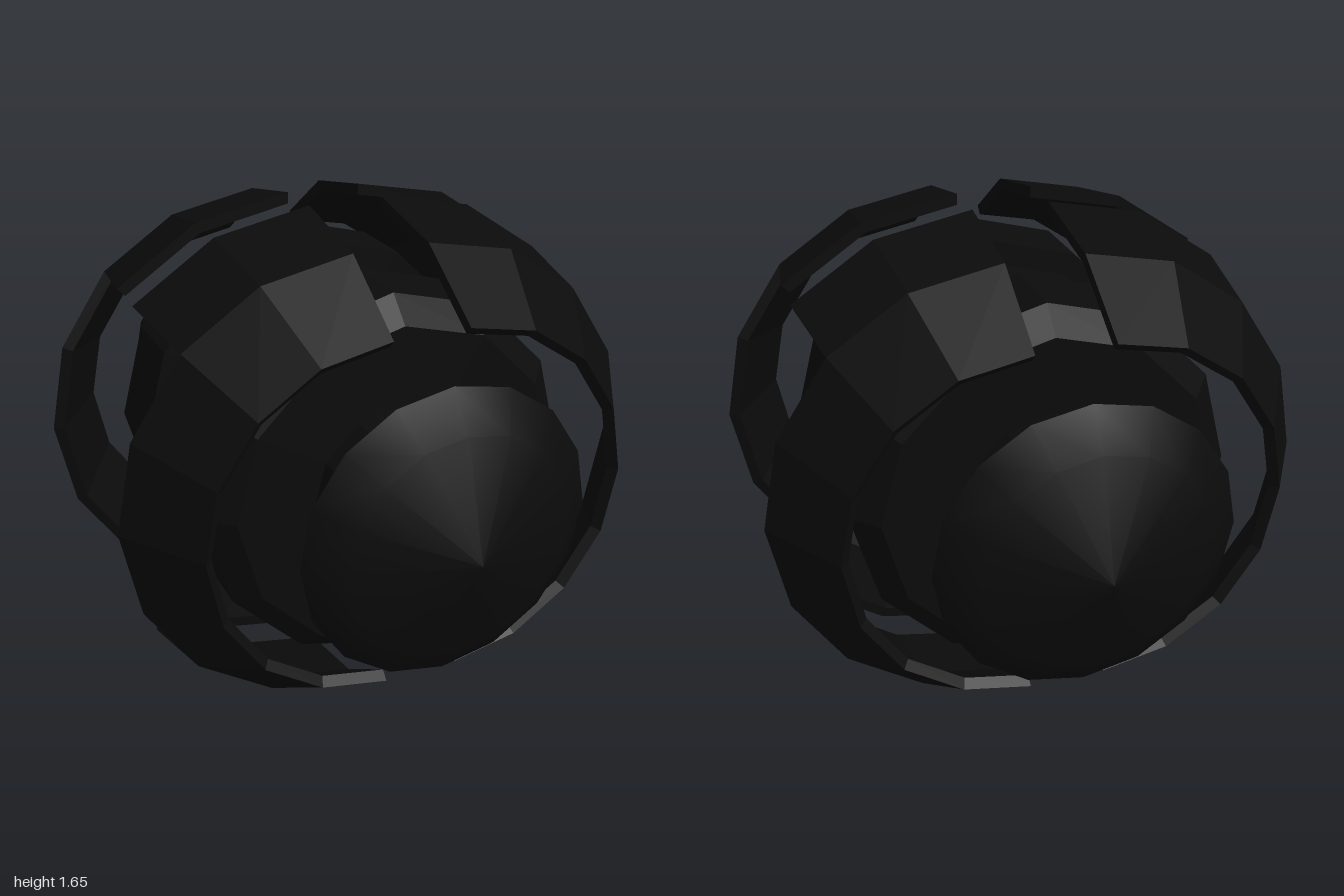
import * as THREE from 'three';

const CENTRE_Y = 0.826;
const R = 0.825; // outer shell radius
const STEP = Math.PI / 8;

// Thick C-shaped piece of a faceted sphere: a full outer band plus two flaps
function shellGeometry() {
  const present = (i, j) => j >= 0 && j < 8 && (i === 1 || (i === 0 && (j < 2 || j > 5)));
  const point = ([i, j], s) => {
    const lat = i * STEP, a = (j - 4) * STEP;
    return [
      s * R * Math.cos(lat) * Math.cos(a) + 0.125,
      s * R * Math.cos(lat) * Math.sin(a),
      s * R * Math.sin(lat) + 0.085,
    ];
  };
  const pos = [];
  const quad = (a, b, c, d) => pos.push(...a, ...b, ...c, ...a, ...c, ...d);
  const outer = (p) => point(p, 1), inner = (p) => point(p, 0.955);

  for (let i = 0; i < 2; i++) {
    for (let j = 0; j < 8; j++) {
      if (!present(i, j)) continue;
      const c = [[i, j], [i, j + 1], [i + 1, j + 1], [i + 1, j]];
      quad(...c.map(outer));
      quad(...c.map(inner).reverse());
      // Rim faces wherever the piece ends
      const next = [[i - 1, j], [i, j + 1], [i + 1, j], [i, j - 1]];
      next.forEach((n, k) => {
        if (present(...n)) return;
        const a = c[k], b = c[(k + 1) % 4];
        quad(outer(a), inner(a), inner(b), outer(b));
      });
    }
  }
  const g = new THREE.BufferGeometry();
  g.setAttribute('position', new THREE.Float32BufferAttribute(pos, 3));
  g.computeVertexNormals();
  return g;
}

// Turned solid along z
function turned(profile, sides) {
  const pts = profile.map(([r, z]) => new THREE.Vector2(r, z));
  return new THREE.LatheGeometry(pts, sides).rotateX(Math.PI / 2);
}

export function createModel() {
  const model = new THREE.Group();
  const black = new THREE.MeshStandardMaterial({ color: 0x0b0b0b });
  black.name = 'black';
  const add = (name, geometry) => {
    const mesh = new THREE.Mesh(geometry, black);
    mesh.name = name;
    mesh.position.y = CENTRE_Y;
    model.add(mesh);
    return mesh;
  };

  // Twelve-sided core: necks, two wide drums and a recessed waist
  const half = [[0.3, -0.76], [0.3, -0.5], [0.55, -0.5], [0.63, -0.42], [0.63, -0.16], [0.55, -0.16]];
  const profile = [...half, ...half.map(([r, z]) => [r, -z]).reverse()];
  const core = turned(profile, 12).toNonIndexed();
  core.computeVertexNormals();
  add('core', core);

  // Domed caps at front and back
  const dome = turned([[0, 0.74], [0.39, 0.74], [0.455, 0.77], [0.477, 0.8], [0.36, 0.89], [0, 1]], 16);
  add('frontCap', dome);
  add('backCap', dome).rotation.y = Math.PI;

  // Four shell pieces, one in each quarter
  const shell = shellGeometry();
  add('frontLeftShell', shell);
  add('backLeftShell', shell).rotation.x = Math.PI;
  add('frontRightShell', shell).rotation.z = Math.PI;
  add('backRightShell', shell).rotation.y = Math.PI;

  return model;
}
